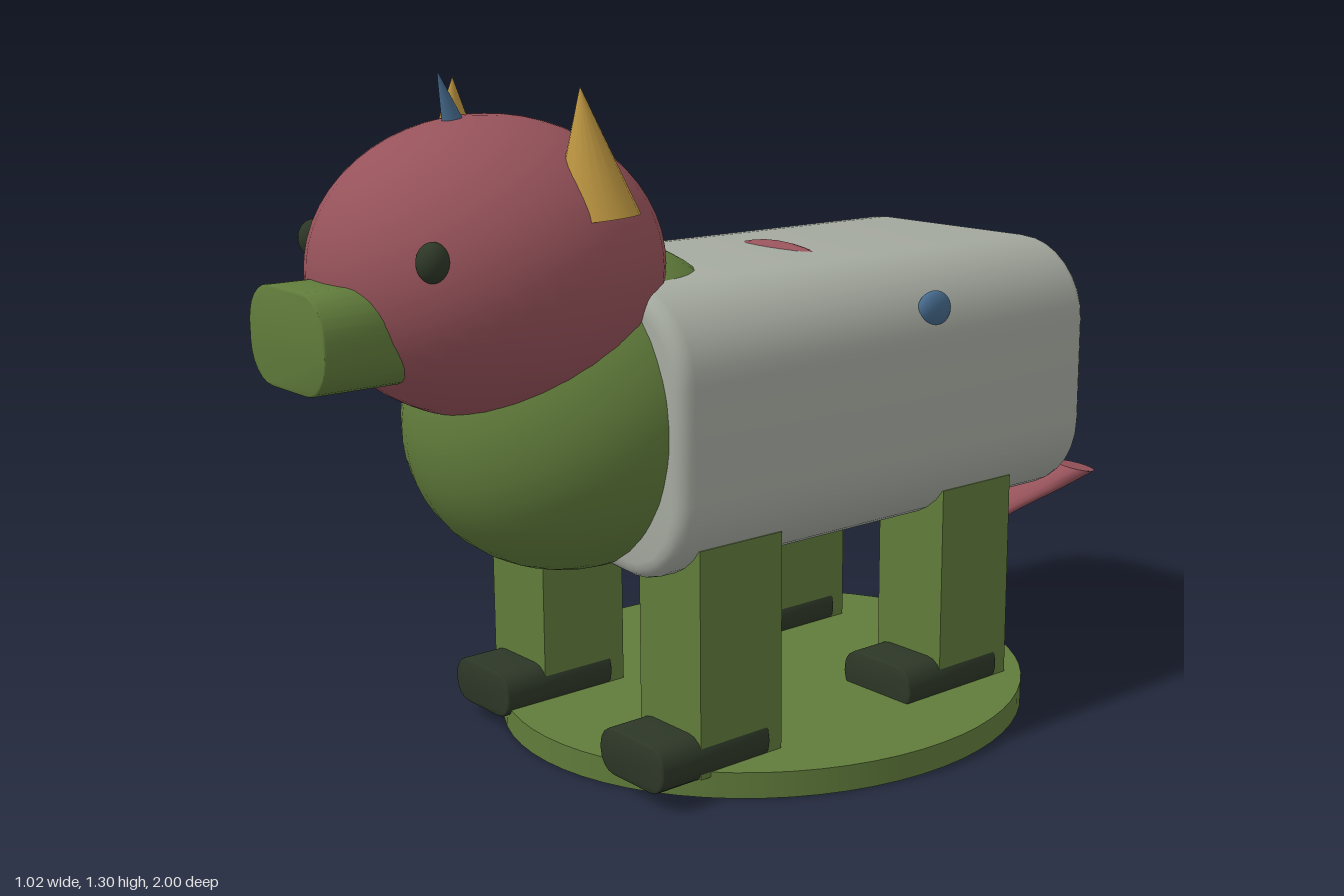
import * as THREE from 'three';
import { toCreasedNormals } from 'three/addons/utils/BufferGeometryUtils.js';

const material = (name, color) => {
  const m = new THREE.MeshStandardMaterial({ color });
  m.name = name;
  return m;
};

// Rounded rectangle outline; extra points may be added on the -x side and the underside
function roundedOutline(w, h, r, n, sidePoints = [], bottomPoints = []) {
  const pts = [];
  const corner = (cx, cy, start) => {
    for (let i = 0; i <= n; i++) {
      const a = start + (i / n) * Math.PI / 2;
      pts.push(new THREE.Vector2(cx + r * Math.cos(a), cy + r * Math.sin(a)));
    }
  };
  const x = w / 2 - r, y = h / 2 - r;
  corner(x, -y, -Math.PI / 2);
  corner(x, y, 0);
  corner(-x, y, Math.PI / 2);
  sidePoints.forEach(p => pts.push(new THREE.Vector2(...p)));
  corner(-x, -y, Math.PI);
  bottomPoints.forEach(p => pts.push(new THREE.Vector2(...p)));
  return new THREE.Shape(pts);
}

// Extrusion of given total length along z, starting at z = 0
function extrude(shape, length, bevel) {
  const geo = new THREE.ExtrudeGeometry(shape, {
    depth: length - 2 * bevel, bevelEnabled: bevel > 0, bevelThickness: bevel,
    bevelSize: bevel, bevelOffset: -bevel, bevelSegments: 4,
  });
  geo.translate(0, 0, bevel);
  return toCreasedNormals(geo, 0.6);
}

export function createModel() {
  const model = new THREE.Group();
  model.name = 'hornedAnimal';

  const green = material('leafGreen', 0x607b3b);
  const red = material('dustyRed', 0x96525a);
  const grey = material('paleGrey', 0xa5aaa0);
  const yellow = material('hornYellow', 0xba9440);
  const blue = material('slateBlue', 0x44688a);
  const dark = material('darkGreen', 0x2d3727);

  const add = (name, geo, mat, x, y, z, parent = model) => {
    const mesh = new THREE.Mesh(geo, mat);
    mesh.name = name;
    mesh.position.set(x, y, z);
    parent.add(mesh);
    return mesh;
  };
  const ball = (name, mat, x, y, z, rx, ry, rz) => {
    const mesh = add(name, new THREE.SphereGeometry(1, 40, 28), mat, x, y, z);
    mesh.scale.set(rx, ry, rz);
    return mesh;
  };
  // Cone from a base centre to an apex
  const cone = (name, mat, r, base, apex) => {
    const a = new THREE.Vector3(...base), b = new THREE.Vector3(...apex);
    const dir = b.clone().sub(a);
    const mid = a.clone().add(b).multiplyScalar(0.5);
    const mesh = add(name, new THREE.ConeGeometry(r, dir.length(), 20), mat, mid.x, mid.y, mid.z);
    mesh.quaternion.setFromUnitVectors(new THREE.Vector3(0, 1, 0), dir.normalize());
  };

  // Oval stand
  const stand = add('stand', new THREE.CylinderGeometry(1, 1, 0.05, 64), green, 0, 0.025, -0.047);
  stand.scale.set(0.51, 1, 0.55);

  // Body with a shallow groove along the lower edge of one side
  const bodyShape = roundedOutline(0.715, 0.53, 0.16, 8,
    [[-0.335, -0.08]], [[-0.18, -0.238]]);
  add('body', extrude(bodyShape, 1.065, 0.03), grey, 0, 0.667, -0.61);

  // Band around the body, mostly sunk into it
  const band = add('bodyBand', new THREE.TorusGeometry(0.252, 0.025, 12, 64), red, 0, 0.667, -0.08);
  band.scale.x = 1.27;

  // Chest and head
  const chest = ball('chest', green, 0, 0.69, 0.415, 0.325, 0.294, 0.334);
  chest.rotation.x = 0.53;
  ball('head', red, 0, 0.96, 0.603, 0.3, 0.267, 0.322);

  // Snout
  add('snout', extrude(roundedOutline(0.256, 0.172, 0.07, 6), 0.2, 0.004), green, 0, 0.876, 0.8);

  // Crest spike
  cone('crestSpike', blue, 0.02, [0, 1.21, 0.665], [0, 1.305, 0.695]);

  const footGeo = extrude(roundedOutline(0.187, 0.09, 0.04, 4), 0.253, 0.004);
  const legGeo = new THREE.BoxGeometry(0.175, 0.43, 0.194);
  for (const s of [-1, 1]) {
    const side = s > 0 ? 'left' : 'right';
    ball(side + 'Eye', dark, s * 0.195, 1.01, 0.835, 0.028, 0.034, 0.028);
    ball(side + 'BodyStud', blue, s * 0.341, 0.84, -0.175, 0.02, 0.035, 0.041);
    cone(side + 'Horn', yellow, 0.076, [s * 0.22, 1.058, 0.527], [s * 0.197, 1.28, 0.54]);

    // Legs and feet
    for (const [end, legZ, footZ] of [['Front', 0.298, 0.234], ['Rear', -0.321, -0.386]]) {
      add(side + end + 'Leg', legGeo, green, s * 0.2425, 0.255, legZ);
      add(side + end + 'Foot', footGeo, dark, s * 0.2425, 0.075, footZ);
    }
  }

  // Flattened, curving tail, closed at both ends
  const tail = new THREE.Group();
  tail.name = 'tail';
  tail.position.y = 0.235;
  tail.scale.y = 0.3;
  model.add(tail);
  const path = new THREE.CatmullRomCurve3([
    [0, 0, -0.565], [0, 0.14, -0.77], [0.025, 0.25, -0.88], [0.06, 0.37, -0.953],
  ].map(p => new THREE.Vector3(...p)));
  add('tailTube', new THREE.TubeGeometry(path, 32, 0.052, 16), red, 0, 0, 0, tail);
  for (const t of [0, 1]) {
    const p = path.getPointAt(t), dir = path.getTangentAt(t).multiplyScalar(t ? 1 : -1);
    const cap = add('tailCap', new THREE.CircleGeometry(0.052, 16), red, p.x, p.y, p.z, tail);
    cap.quaternion.setFromUnitVectors(new THREE.Vector3(0, 0, 1), dir);
  }

  return model;
}
